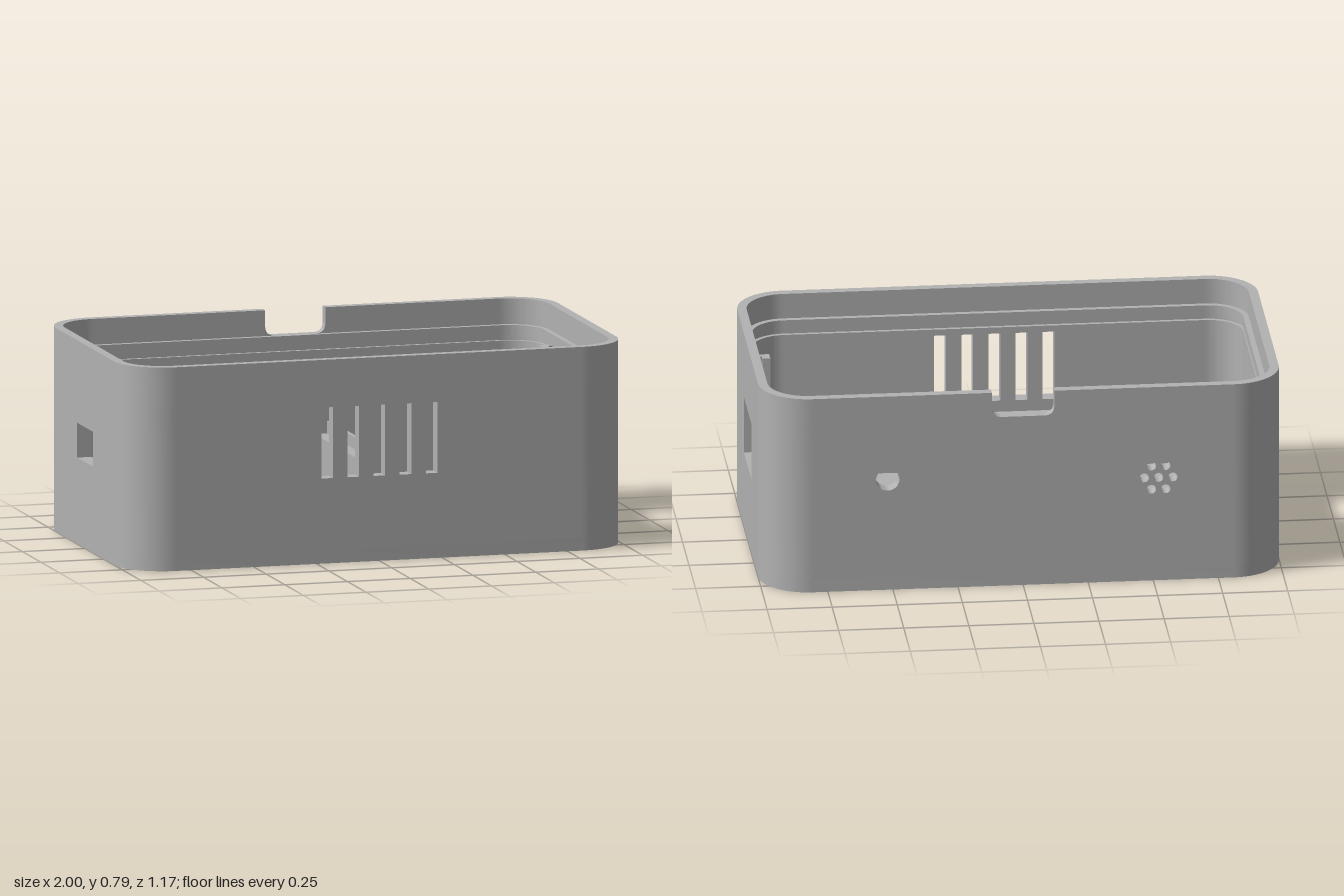
import * as THREE from 'three';
import { toCreasedNormals } from 'three/addons/utils/BufferGeometryUtils.js';

const HX = 1, HZ = 0.585, R = 0.19, T = 0.057, LIP = 0.036;
const FLOOR = 0.05, GROOVE = 0.63, LEDGE = 0.69, TOP = 0.79;

const grey = new THREE.MeshStandardMaterial({ color: 0xb2b2b2 });
grey.name = 'casing grey';

function rect(u0, u1, y0, y1, Type = THREE.Path) {
  const p = new Type();
  p.moveTo(u0, y0).lineTo(u1, y0).lineTo(u1, y1).lineTo(u0, y1).closePath();
  return p;
}
function circle(u, y, r, Type = THREE.Path) {
  return new Type().absarc(u, y, r, 0, Math.PI * 2, false);
}
function extrude(shape, depth) {
  return new THREE.ExtrudeGeometry(shape, { depth, bevelEnabled: false, curveSegments: 14 });
}

export function createModel() {
  const model = new THREE.Group();
  model.name = 'enclosure';
  const add = (name, geometry, parent = model) => {
    const mesh = new THREE.Mesh(toCreasedNormals(geometry, 0.6), grey);
    mesh.name = name;
    parent.add(mesh);
    return mesh;
  };
  const block = (name, x0, x1, y0, y1, z0, z1) =>
    add(name, new THREE.BoxGeometry(x1 - x0, y1 - y0, z1 - z0)
      .translate((x0 + x1) / 2, (y0 + y1) / 2, (z0 + z1) / 2));

  // Speaker grille: one centre hole and a ring of six
  const speaker = { u: 0.52, y: 0.42 };
  const grille = [circle(speaker.u, speaker.y, 0.018)];
  for (let i = 0; i < 6; i++) {
    const a = i * Math.PI / 3;
    grille.push(circle(speaker.u + 0.055 * Math.cos(a), speaker.y + 0.055 * Math.sin(a), 0.018));
  }
  const vents = [-2, -1, 0, 1, 2].map(i => rect(i * 0.104 - 0.023, i * 0.104 + 0.023, 0.33, 0.605));

  // Wall panels by side, seen from outside
  const sides = [
    { name: 'front', angle: 0, half: HX - R, dist: HZ, holes: vents },
    { name: 'left', angle: Math.PI / 2, half: HZ - R, dist: HX, holes: [rect(-0.143, 0.143, 0.303, 0.53)] },
    { name: 'back', angle: Math.PI, half: HX - R, dist: HZ, holes: [circle(-0.52, 0.45, 0.045), ...grille] },
    { name: 'right', angle: -Math.PI / 2, half: HZ - R, dist: HX, holes: [rect(-0.106, 0.106, 0.335, 0.47)] },
  ];

  // Lip pieces on either side of the rounded notch
  const notchPiece = s => {
    const p = new THREE.Shape();
    p.moveTo(s * (HX - R), LEDGE).lineTo(s * (HX - R), TOP).lineTo(s * 0.12, TOP).lineTo(s * 0.12, LEDGE + 0.04);
    p.quadraticCurveTo(s * 0.12, LEDGE, s * 0.08, LEDGE).closePath();
    return p;
  };

  // One horizontal band of the casing: four panels and four rounded corners
  function band(name, y0, y1, t, { holes = false, notch = false } = {}) {
    const group = new THREE.Group();
    group.name = name;
    model.add(group);
    for (const s of sides) {
      let shape = rect(-s.half, s.half, y0, y1, THREE.Shape);
      if (holes) shape.holes.push(...s.holes);
      if (notch && s.name === 'back') shape = [notchPiece(-1), notchPiece(1)];
      add(`${s.name} panel`, extrude(shape, t).translate(0, 0, s.dist - t).rotateY(s.angle), group);
    }
    const corner = new THREE.Shape();
    corner.absarc(0, 0, R, 0, Math.PI / 2, false);
    corner.absarc(0, 0, R - t, Math.PI / 2, 0, true);
    corner.closePath();
    [[1, -1], [-1, -1], [-1, 1], [1, 1]].forEach(([sx, sz], k) => {
      const g = extrude(corner, y1 - y0).rotateX(-Math.PI / 2).rotateY(k * Math.PI / 2);
      add('corner', g.translate(sx * (HX - R), y0, sz * (HZ - R)), group);
    });
  }
  band('lower wall', FLOOR, GROOVE, T, { holes: true });
  band('snap groove', GROOVE, GROOVE + 0.015, 0.042);
  band('ledge', GROOVE + 0.015, LEDGE, T);
  band('rim lip', LEDGE, TOP, LIP, { notch: true });

  // Floor
  const base = new THREE.Shape();
  const cx = HX - R, cz = HZ - R;
  [[cx, cz], [-cx, cz], [-cx, -cz], [cx, -cz]].forEach(([x, z], k) =>
    base.absarc(x, z, R, k * Math.PI / 2, (k + 1) * Math.PI / 2, false));
  base.closePath();
  add('floor', extrude(base, FLOOR).rotateX(-Math.PI / 2));

  // Speaker collar on the inside of the back wall
  const collar = circle(0, 0, 0.127, THREE.Shape);
  collar.holes.push(circle(0, 0, 0.1));
  add('speaker collar', extrude(collar, 0.045).translate(-speaker.u, speaker.y, -HZ + T - 0.003));

  // Board support with a raised stop
  block('board support', -0.005, 0.045, FLOOR, 0.35, -0.275, 0.275);
  block('board stop', 0.045, 0.06, FLOOR, 0.397, -0.275, 0.275);

  // Support posts and L-shaped board guides, mirrored front to back
  for (const s of [-1, 1]) {
    const span = (name, x0, x1, y1, a, b) =>
      block(name, x0, x1, FLOOR, y1, Math.min(s * a, s * b), Math.max(s * a, s * b));
    span('support post', -0.88, -0.815, 0.35, 0.165, 0.25);
    span('guide arm', 0.92, 0.96, 0.65, 0.255, 0.278);
    span('guide hook', 0.89, 0.92, 0.65, 0.233, 0.278);
  }
  return model;
}
